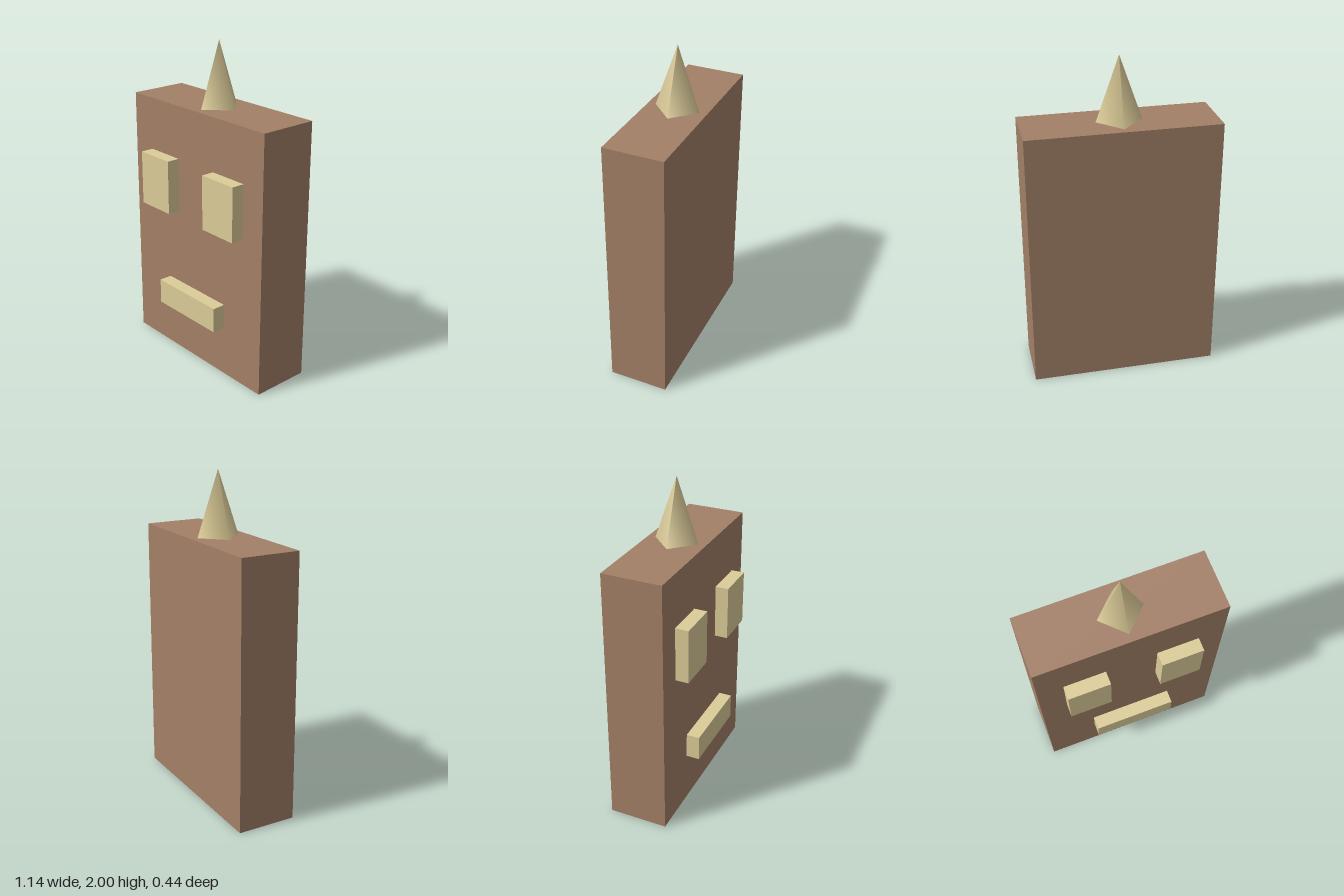
import * as THREE from 'three';

const brown = new THREE.MeshStandardMaterial({ color: 0xa38067 });
const cream = new THREE.MeshStandardMaterial({ color: 0xdccc98 });

// Box given by its centre x and its y and z extents
function addBox(group, name, material, x, width, [y0, y1], [z0, z1]) {
  const mesh = new THREE.Mesh(new THREE.BoxGeometry(width, y1 - y0, z1 - z0), material);
  mesh.name = name;
  mesh.position.set(x, (y0 + y1) / 2, (z0 + z1) / 2);
  group.add(mesh);
}

export function createModel() {
  const model = new THREE.Group();
  model.name = 'blockFace';
  const bodyTop = 1.613, bodyZ = [-0.222, 0.141], featureZ = [0.141, 0.222];

  // Slab head
  addBox(model, 'head', brown, 0, 1.14, [0, bodyTop], bodyZ);

  // Raised eyes and mouth
  for (const [name, side] of [['leftEye', 1], ['rightEye', -1]]) {
    addBox(model, name, cream, side * 0.285, 0.257, [0.953, 1.287], featureZ);
  }
  addBox(model, 'mouth', cream, 0, 0.514, [0.316, 0.473], featureZ);

  // Four-sided horn with smooth shading
  const hornHeight = 2 - bodyTop;
  const horn = new THREE.Mesh(new THREE.ConeGeometry(0.136, hornHeight, 4), cream);
  horn.name = 'horn';
  horn.position.set(0, bodyTop + hornHeight / 2, -0.041);
  model.add(horn);

  return model;
}
